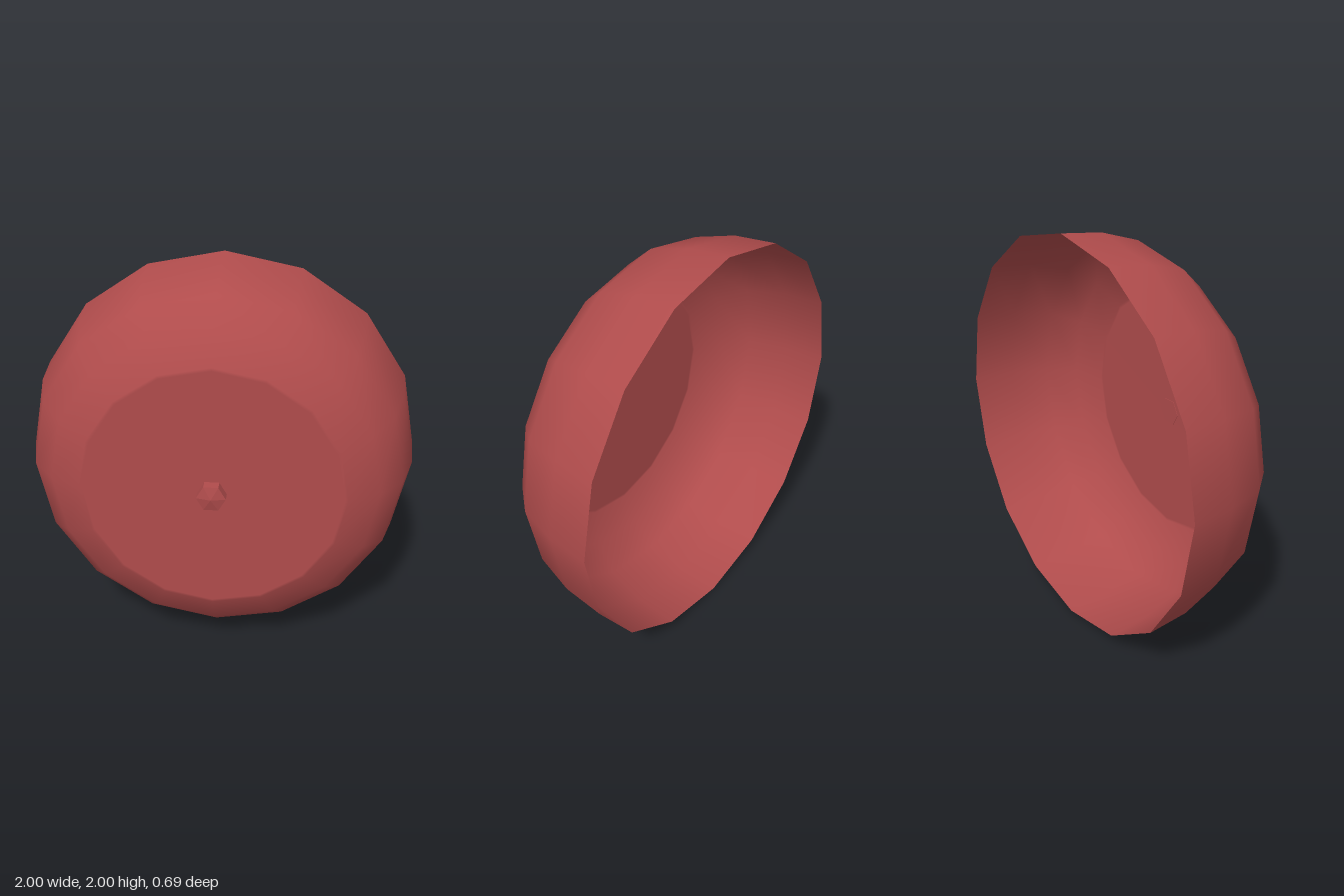
import * as THREE from 'three';

// Turned part whose axis points along +z; profile points are [radius, z].
function turned(name, profile, sides, material) {
  const points = profile.map(([r, z]) => new THREE.Vector2(r, z));
  const geometry = new THREE.LatheGeometry(points, sides, Math.PI / 2);
  geometry.rotateX(Math.PI / 2);
  const mesh = new THREE.Mesh(geometry, material);
  mesh.name = name;
  mesh.position.y = 1;
  return mesh;
}

export function createModel() {
  const group = new THREE.Group();
  group.name = 'bell';
  const color = 0xb04c4c;

  // Thin open gong shell, with a narrow extra ring to keep the front face flat
  group.add(turned('gongShell', [
    [1, -0.345], [0.98, -0.13], [0.92, 0.075], [0.805, 0.205],
    [0.65, 0.279], [0.635, 0.28], [0, 0.28],
  ], 16, new THREE.MeshStandardMaterial({ color, side: THREE.DoubleSide })));

  // Hexagonal bolt head with a shallow point, its base flush with the inside
  group.add(turned('centreBolt', [
    [0, 0.278], [0.072, 0.278], [0.072, 0.33], [0, 0.345],
  ], 6, new THREE.MeshStandardMaterial({ color, flatShading: true })));

  return group;
}
